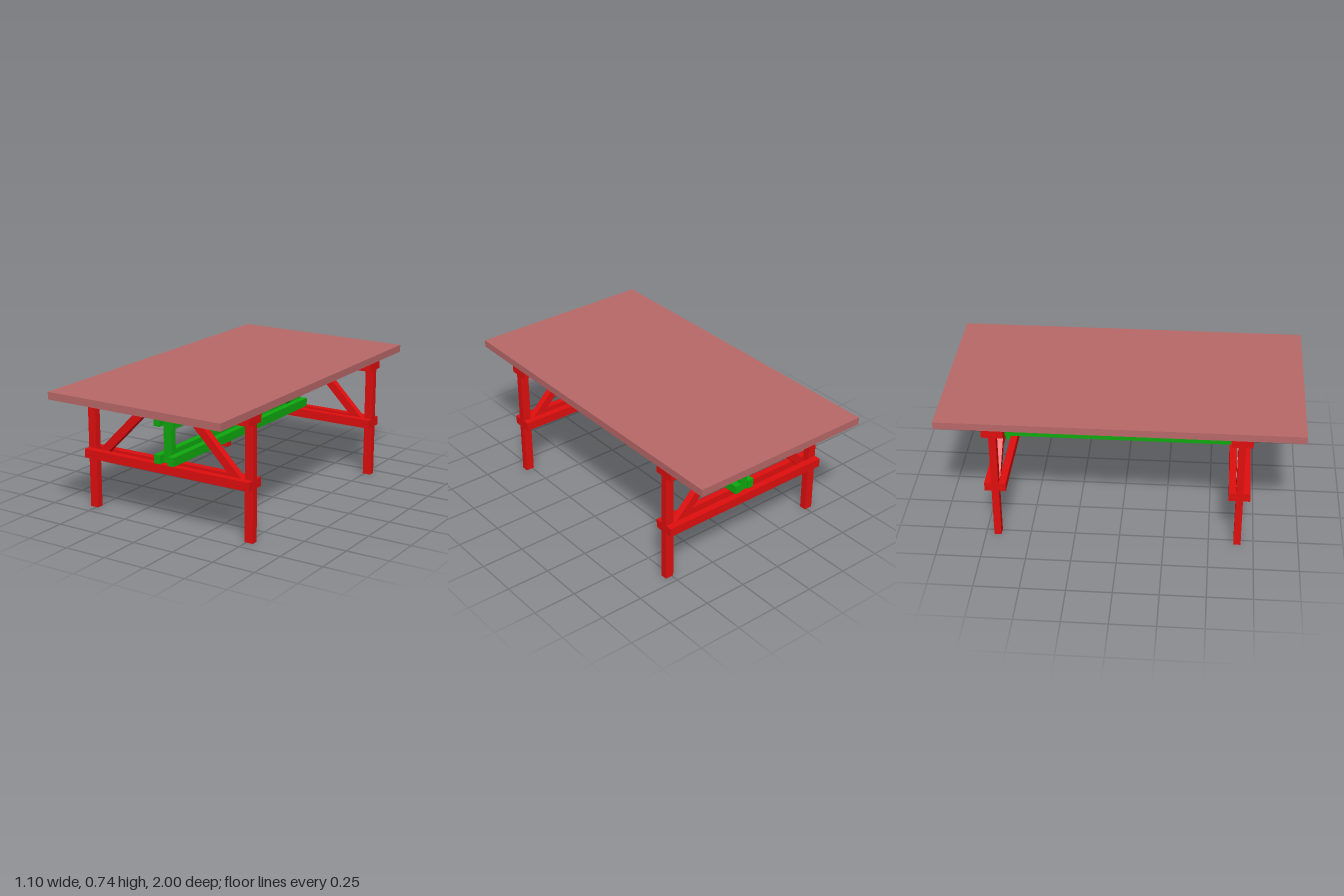
import * as THREE from 'three';

const red = new THREE.MeshStandardMaterial({ color: 0xe00e0e });
const green = new THREE.MeshStandardMaterial({ color: 0x0fa80f });
const topColor = new THREE.MeshStandardMaterial({ color: 0xb96868 });

// Box given by its extents on each axis
function beam(parent, name, material, [x0, x1], [y0, y1], [z0, z1]) {
  const mesh = new THREE.Mesh(new THREE.BoxGeometry(x1 - x0, y1 - y0, z1 - z0), material);
  mesh.position.set((x0 + x1) / 2, (y0 + y1) / 2, (z0 + z1) / 2);
  mesh.name = name;
  parent.add(mesh);
  return mesh;
}

// Sloping brace with level ends: width w along the level, from (a0, y0) to (a1, y1)
function brace(name, material, a0, y0, a1, y1, w, depth) {
  const h = w / 2;
  const shape = new THREE.Shape([
    new THREE.Vector2(a0 - h, y0), new THREE.Vector2(a0 + h, y0),
    new THREE.Vector2(a1 + h, y1), new THREE.Vector2(a1 - h, y1),
  ]);
  const geometry = new THREE.ExtrudeGeometry(shape, { depth, bevelEnabled: false });
  geometry.translate(0, 0, -depth / 2);
  const mesh = new THREE.Mesh(geometry, material);
  mesh.name = name;
  return mesh;
}

// End frame: two legs clasped by paired rails, two braces and a centre post
function endFrame(name, z) {
  const frame = new THREE.Group();
  frame.name = name;
  frame.position.z = z;
  for (const s of [-1, 1]) {
    const side = s > 0 ? 'left' : 'right';
    beam(frame, side + 'Leg', red, s > 0 ? [0.49, 0.54] : [-0.54, -0.49], [0, 0.7], [-0.02, 0.02]);
    frame.add(brace(side + 'Brace', red, s * 0.481, 0.301, s * 0.083, 0.699, 0.067, 0.039));
    const depth = s > 0 ? [0.02, 0.059] : [-0.059, -0.02];
    beam(frame, 'upperRail', red, [-0.54, 0.54], [0.65, 0.7], depth);
    beam(frame, 'lowerRail', red, [-0.54, 0.54], [0.3, 0.35], depth);
  }
  beam(frame, 'centrePost', green, [-0.025, 0.025], [0.3, 0.7], [-0.02, 0.02]);
  return frame;
}

export function createModel() {
  const table = new THREE.Group();
  table.name = 'table';

  beam(table, 'tabletop', topColor, [-0.55, 0.55], [0.7, 0.742], [-1, 1]);
  table.add(endFrame('frontFrame', 0.66), endFrame('backFrame', -0.684));

  // Long truss joining the frames
  const truss = new THREE.Group();
  truss.name = 'truss';
  for (const x of [[-0.064, -0.025], [0.025, 0.064]]) {
    beam(truss, 'upperStringer', green, x, [0.56, 0.61], [-0.712, 0.717]);
    beam(truss, 'lowerStringer', green, x, [0.35, 0.4], [-0.712, 0.717]);
  }
  for (const z of [0.293, -0.032, -0.356]) {
    beam(truss, 'strut', green, [-0.025, 0.025], [0.35, 0.61], [z - 0.02, z + 0.02]);
  }
  // Single diagonal at the back end, turned to lie along z
  const diagonal = brace('diagonalStrut', green, 0.668, 0.351, 0.375, 0.609, 0.062, 0.05);
  diagonal.rotation.y = Math.PI / 2;
  truss.add(diagonal);
  table.add(truss);

  return table;
}
